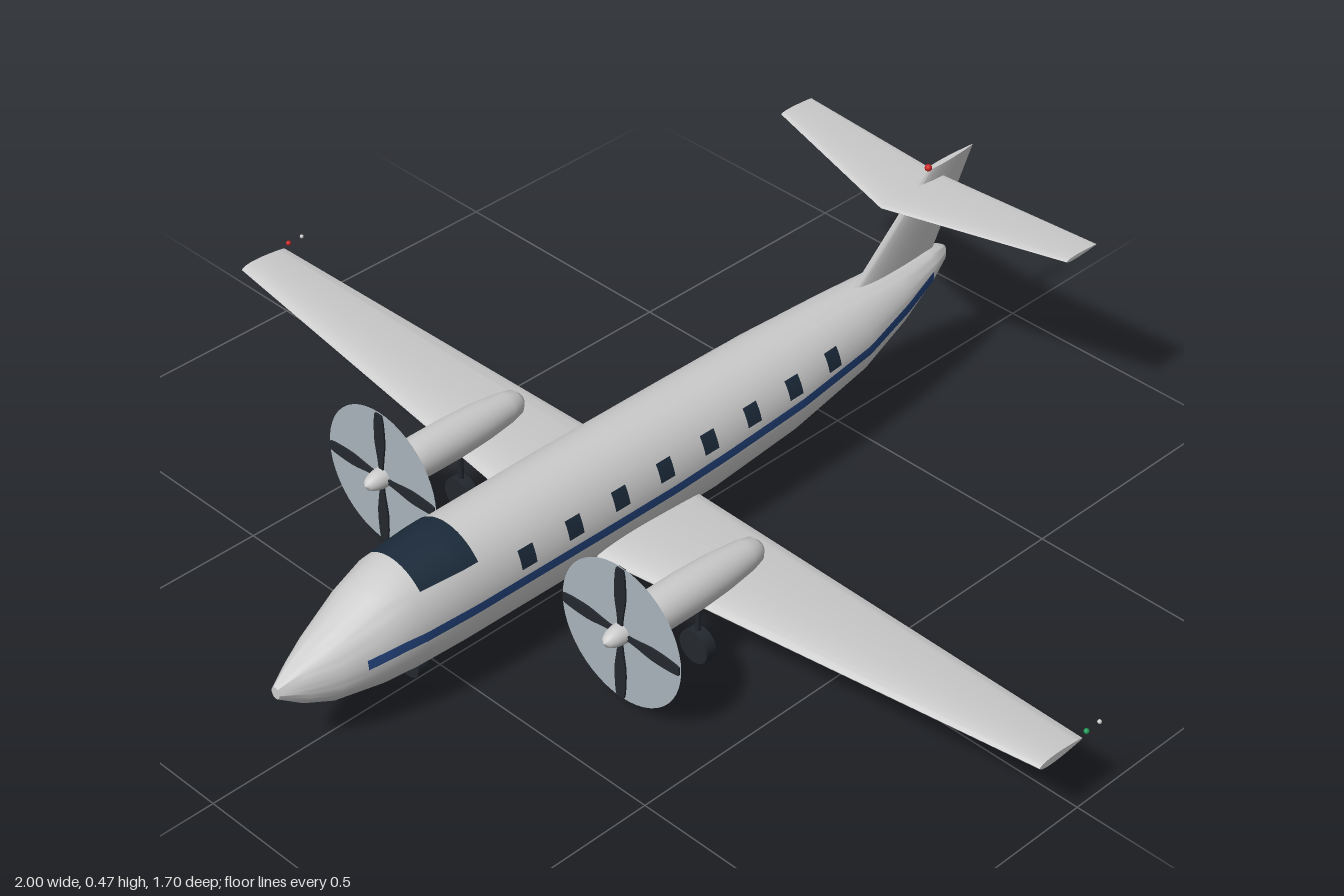
import * as THREE from 'three';
import { toCreasedNormals } from 'three/addons/utils/BufferGeometryUtils.js';

const mat = (color, side = THREE.FrontSide) => new THREE.MeshStandardMaterial({ color, side });
const BODY = mat(0xcccccc), GLASS = mat(0x1b2a3a, THREE.DoubleSide), STRIPE = mat(0x24457f, THREE.DoubleSide);
const DARK = mat(0x23282e), DISC = mat(0xa9b3bb, THREE.DoubleSide);
const RED = mat(0xcc2222), GREEN = mat(0x1f9a55), WHITE = mat(0xeeeeee);

// Fuselage stations: z, top y, bottom y, half width
const STATIONS = [
  [0.855, 0.162, 0.138, 0.010], [0.81, 0.190, 0.106, 0.034], [0.76, 0.214, 0.085, 0.057],
  [0.67, 0.258, 0.072, 0.084], [0.605, 0.284, 0.068, 0.095], [0.5, 0.292, 0.066, 0.100],
  [0.2, 0.295, 0.065, 0.102], [-0.1, 0.292, 0.069, 0.102], [-0.3, 0.290, 0.087, 0.097],
  [-0.5, 0.287, 0.119, 0.078], [-0.62, 0.283, 0.165, 0.058], [-0.72, 0.278, 0.212, 0.034],
  [-0.765, 0.273, 0.236, 0.018], [-0.777, 0.266, 0.248, 0.008],
];

function interpolate(table, z) {
  let i = 0;
  while (i < table.length - 2 && z < table[i + 1][0]) i++;
  const a = table[i], b = table[i + 1], t = (z - a[0]) / (b[0] - a[0]);
  return a.map((v, k) => v + (b[k] - v) * t);
}

// Point on the fuselage skin at station z and angle a
function skin(z, a, lift = 0) {
  const [, top, bottom, rx] = interpolate(STATIONS, z);
  return [(rx + lift) * Math.cos(a), (top + bottom) / 2 + ((top - bottom) / 2 + lift) * Math.sin(a), z];
}

function skinAngle(z, y) {
  const [, top, bottom] = interpolate(STATIONS, z);
  return Math.asin(THREE.MathUtils.clamp((2 * y - top - bottom) / (top - bottom), -1, 1));
}

function buildGeometry(points, index) {
  const g = new THREE.BufferGeometry();
  g.setAttribute('position', new THREE.Float32BufferAttribute(points.flat(), 3));
  g.setIndex(index);
  g.computeVertexNormals();
  return g;
}

// Skin closed rings into a capped solid
function loft(rings, crease = 0.6) {
  const n = rings[0].length, last = rings.length - 1, points = rings.flat(), index = [];
  const center = (r) => [0, 1, 2].map((k) => r.reduce((s, p) => s + p[k], 0) / n);
  points.push(center(rings[0]), center(rings[last]));
  const c0 = points.length - 2, c1 = c0 + 1;
  for (let j = 0; j < n; j++) {
    const k = (j + 1) % n;
    for (let i = 0; i < last; i++) {
      const a = i * n + j, b = i * n + k;
      index.push(a, a + n, b, b, a + n, b + n);
    }
    index.push(c0, j, k, c1, last * n + k, last * n + j);
  }
  return toCreasedNormals(buildGeometry(points, index), crease);
}

// Strip lying on the skin; range(z) gives the two limiting angles
function patch(z0, z1, range, nz, na) {
  const points = [], index = [];
  for (let i = 0; i <= nz; i++) {
    const z = z0 + (z1 - z0) * i / nz, [a0, a1] = range(z);
    for (let j = 0; j <= na; j++) points.push(skin(z, a0 + (a1 - a0) * j / na, 0.002));
  }
  for (let i = 0; i < nz; i++) for (let j = 0; j < na; j++) {
    const a = i * (na + 1) + j, c = a + na + 1;
    index.push(a, c, a + 1, a + 1, c, c + 1);
  }
  return buildGeometry(points, index);
}

// Airfoil outline as [z, thickness offset], from the trailing edge over the top
function airfoil(lead, trail, half) {
  return Array.from({ length: 24 }, (_, i) => {
    const t = i / 24 * Math.PI * 2, c = Math.cos(t);
    return [(lead + trail) / 2 - (lead - trail) / 2 * c, half * Math.sin(t) * (1 - 0.5 * c) * 0.9];
  });
}

// Symmetric flying surface from tip to tip; each end is [x, y, lead, trail, half thickness]
function wingGeometry(root, tip) {
  const ring = ([x, y, l, t, h], s) => airfoil(l, t, h).map(([z, n]) => [x * s, y + n, z]);
  return loft([ring(tip, 1), ring(root, 1), ring(tip, -1)]);
}

function add(parent, name, geometry, material, x = 0, y = 0, z = 0) {
  const m = new THREE.Mesh(geometry, material);
  m.name = name;
  m.position.set(x, y, z);
  parent.add(m);
  return m;
}

// Turned part whose axis runs along z; profile is [radius, z] from back to front
const turned = (profile) =>
  new THREE.LatheGeometry(profile.map(([r, z]) => new THREE.Vector2(r, z)), 28).rotateX(Math.PI / 2);

// Wheel facing along z, with a strut above it
function wheel(parent, name, x, z, y, r, strutTop) {
  add(parent, name, new THREE.CylinderGeometry(r, r, 0.023, 24).rotateX(Math.PI / 2), DARK, x, y, z);
  add(parent, name + 'Strut', new THREE.CylinderGeometry(0.005, 0.005, strutTop - y, 8), DARK, x, (y + strutTop) / 2, z);
}

function engine(side) {
  const g = new THREE.Group();
  g.name = side > 0 ? 'leftEngine' : 'rightEngine';
  g.position.set(0.3 * side, 0.165, 0);
  add(g, 'nacelle', turned([[0, 0.026], [0.014, 0.029], [0.024, 0.04], [0.03, 0.065], [0.037, 0.13],
    [0.04, 0.2], [0.04, 0.27], [0.036, 0.315], [0.028, 0.342], [0.018, 0.356], [0, 0.356]]), BODY);
  add(g, 'spinner', turned([[0.02, 0.354], [0.019, 0.368], [0.016, 0.382], [0.01, 0.393], [0, 0.399]]), BODY);
  add(g, 'propellerDisc', new THREE.CircleGeometry(0.141, 48), DISC, 0, 0, 0.358);
  const blade = new THREE.Shape();
  blade.moveTo(-0.005, 0.01);
  blade.bezierCurveTo(-0.006, 0.05, -0.014, 0.06, -0.013, 0.09);
  blade.quadraticCurveTo(-0.012, 0.13, -0.008, 0.138);
  blade.lineTo(0.008, 0.138);
  blade.quadraticCurveTo(0.012, 0.13, 0.013, 0.09);
  blade.bezierCurveTo(0.014, 0.06, 0.006, 0.05, 0.005, 0.01);
  const bladeGeo = new THREE.ExtrudeGeometry(blade, { depth: 0.007, bevelEnabled: false, curveSegments: 6 });
  for (let i = 0; i < 4; i++) add(g, 'propellerBlade', bladeGeo, DARK, 0, 0, 0.3545).rotation.z = i * Math.PI / 2;
  wheel(g, 'mainWheel', 0, 0.175, -0.132, 0.033, -0.03);
  return g;
}

export function createModel() {
  const plane = new THREE.Group();
  plane.name = 'airplane';

  const ring = (z) => Array.from({ length: 48 }, (_, j) => skin(z, j / 48 * Math.PI * 2));
  add(plane, 'fuselage', loft(STATIONS.map((s) => ring(s[0])), 0.8), BODY);

  // Windshield wrapped over the top
  add(plane, 'windshield', patch(0.595, 0.473, (z) => {
    const a = skinAngle(z, 0.253);
    return [a, Math.PI - a];
  }, 8, 24), GLASS);

  // Cabin windows and stripes on both sides
  const stripeLine = [[0.715, 0.168], [0.66, 0.178], [0.6, 0.181], [0.03, 0.182], [-0.24, 0.193], [-0.49, 0.205], [-0.71, 0.244]];
  for (const side of [1, -1]) {
    const band = (mid, half) => (z) => [-1, 1].map((k) => {
      const a = skinAngle(z, mid(z) + k * half);
      return side > 0 ? a : Math.PI - a;
    });
    add(plane, 'stripe', patch(0.715, -0.71, band((z) => interpolate(stripeLine, z)[1], 0.009), 90, 2), STRIPE);
    for (let i = 0; i < 8; i++) {
      const z = 0.377 - i * 0.1097, y = 0.221 + i * 0.002;
      add(plane, 'cabinWindow', patch(z + 0.017, z - 0.017, band(() => y, 0.017), 2, 4), GLASS);
    }
    plane.add(engine(side));
    // Wing tip lights
    add(plane, 'navigationLight', new THREE.SphereGeometry(0.005, 10, 8), side > 0 ? GREEN : RED, 0.995 * side, 0.155, -0.012);
    add(plane, 'tipStrobe', new THREE.SphereGeometry(0.004, 10, 8), WHITE, 0.995 * side, 0.155, -0.045);
  }

  add(plane, 'wing', wingGeometry([0, 0.122, 0.222, -0.045, 0.017], [0.996, 0.147, 0.104, -0.002, 0.008]), BODY);
  add(plane, 'tailplane', wingGeometry([0, 0.43, -0.595, -0.758, 0.006], [0.35, 0.43, -0.7, -0.783, 0.004]), BODY);

  // Fin, swept back
  const finRing = (y, l, t, h) => airfoil(l, t, h).map(([z, n]) => [-n, y, z]);
  add(plane, 'fin', loft([finRing(0.457, -0.718, -0.845, 0.006), finRing(0.262, -0.505, -0.74, 0.012)]), BODY);
  add(plane, 'beacon', new THREE.SphereGeometry(0.007, 12, 8), RED, 0, 0.46, -0.722);

  wheel(plane, 'noseWheel', 0, 0.56, 0.044, 0.027, 0.09);
  return plane;
}
